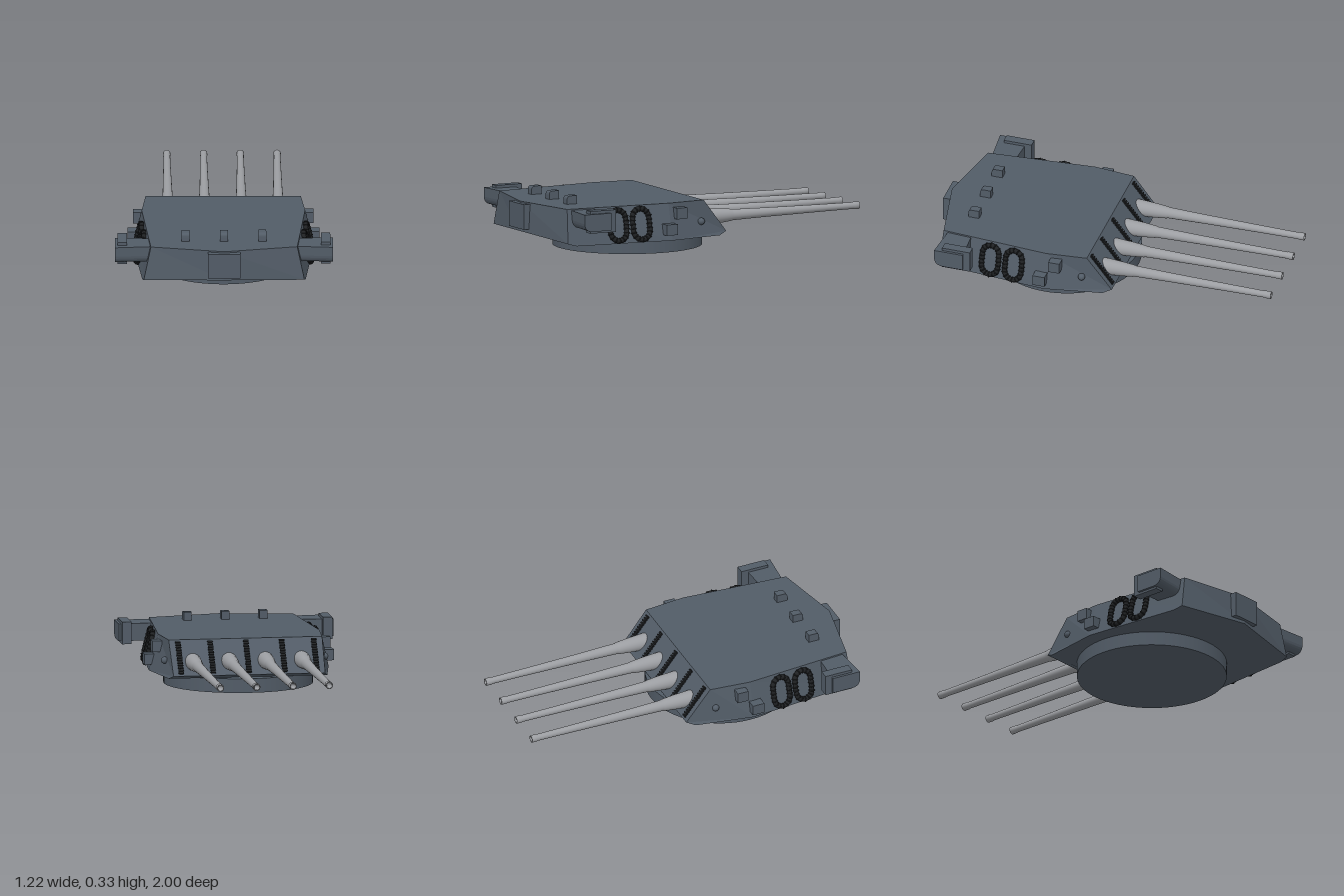
import * as THREE from 'three';

export function createModel() {
  const model = new THREE.Group();
  model.name = 'gunTurret';
  const mat = (name, color, side = THREE.FrontSide) => {
    const m = new THREE.MeshStandardMaterial({ color, side });
    m.name = name;
    return m;
  };
  const hull = mat('slateGrey', 0x525c67, THREE.DoubleSide);
  const steel = mat('lightSteel', 0x9c9ea2);
  const black = mat('nearBlack', 0x1f2123);

  const add = (parent, name, geo, material, x = 0, y = 0, z = 0) => {
    const mesh = new THREE.Mesh(geo, material);
    mesh.name = name;
    mesh.position.set(x, y, z);
    parent.add(mesh);
    return mesh;
  };
  const box = (parent, name, x0, x1, y0, y1, z0, z1, m = hull) =>
    add(parent, name, new THREE.BoxGeometry(x1 - x0, y1 - y0, z1 - z0), m,
      (x0 + x1) / 2, (y0 + y1) / 2, (z0 + z1) / 2);
  // Extrudes a (z, y) profile along x from x0 to x1
  const extrudeX = (shape, x0, x1) => {
    const g = new THREE.ExtrudeGeometry(shape, { depth: x1 - x0, bevelEnabled: false, curveSegments: 6 });
    g.rotateY(-Math.PI / 2).scale(1, 1, 1).translate(x1, 0, 0);
    return g;
  };

  // Round base
  add(model, 'barbette', new THREE.CylinderGeometry(0.42, 0.42, 0.08, 64), hull, 0, 0.04, 0.3);

  // Armoured house: three outlines, from gun corner round the rear to the other gun corner
  const mirrored = half => [...half, ...half.slice(0, 3).reverse().map(([x, y, z]) => [-x, y, z])];
  const rings = [
    [[0.45, 0.08, -0.05], [0.51, 0.08, 0.28], [0.458, 0.08, 0.86], [0, 0.08, 0.86]],
    [[0.43, 0.1, -0.1], [0.51, 0.08, 0.28], [0.45, 0.094, 0.91], [0, 0.118, 0.985]],
    [[0.435, 0.285, 0.045], [0.458, 0.285, 0.28], [0.41, 0.285, 0.895], [0, 0.285, 0.977]],
  ].map(mirrored);
  const pos = [];
  const tri = (a, b, c) => pos.push(...a, ...b, ...c);
  const n = rings[0].length;
  for (let r = 0; r < 2; r++) {
    for (let i = 0; i < n; i++) {
      if (r === 1 && i === n - 1) continue; // the gun face is built separately
      const j = (i + 1) % n, lo = rings[r], hi = rings[r + 1];
      tri(lo[i], hi[i], hi[j]);
      tri(lo[i], hi[j], lo[j]);
    }
  }
  for (let i = 1; i < n - 1; i++) {
    tri(rings[2][0], rings[2][i + 1], rings[2][i]);
    tri(rings[0][0], rings[0][i], rings[0][i + 1]);
  }
  const house = new THREE.BufferGeometry();
  house.setAttribute('position', new THREE.Float32BufferAttribute(pos, 3));
  house.computeVertexNormals();
  add(model, 'armouredHouse', house, hull);

  // Sloping gun face with oval ports; local y runs up the slope, local z points out
  const face = new THREE.Group();
  face.name = 'gunFace';
  face.position.set(0, 0.1, -0.1);
  face.rotation.set(Math.atan2(0.145, 0.185), Math.PI, 0);
  model.add(face);
  const slope = Math.hypot(0.145, 0.185);
  const plate = new THREE.Shape([[-0.43, 0], [0.43, 0], [0.435, slope], [-0.435, slope]]
    .map(p => new THREE.Vector2(...p)));
  const gunXs = [-0.309, -0.103, 0.103, 0.309];
  for (const x of gunXs) {
    plate.holes.push(new THREE.Path().absellipse(x, 0.125, 0.05, 0.1, 0, Math.PI * 2, true));
    const wall = new THREE.CylinderGeometry(1, 1, 0.05, 32, 1, true);
    wall.rotateX(Math.PI / 2).scale(0.05, 0.1, 1);
    add(face, 'portWall', wall, hull, x, 0.125, -0.025);
    add(face, 'portBack', new THREE.CircleGeometry(1, 32).scale(0.05, 0.1, 1), hull, x, 0.125, -0.05);
  }
  add(face, 'facePlate', new THREE.ShapeGeometry(plate, 24), hull);

  // Ladders between the ports
  for (const x of [-0.385, -0.203, 0, 0.203, 0.385]) {
    box(face, 'ladderBacking', x - 0.011, x + 0.011, 0.012, 0.222, 0, 0.003, black);
    for (let i = 0; i < 13; i++) {
      const s = 0.014 + i * 0.0165;
      box(face, 'ladderRung', x - 0.015, x + 0.015, s, s + 0.008, 0, 0.009, black);
    }
  }

  // Gun barrels, profile measured from breech to muzzle
  const barrel = new THREE.LatheGeometry([
    [0, -0.05], [0.03, -0.042], [0.046, -0.01], [0.047, 0.02], [0.041, 0.12], [0.034, 0.19],
    [0.031, 0.2], [0.026, 0.42], [0.021, 0.76], [0.019, 0.96], [0.021, 0.97], [0.021, 1],
    [0.014, 1], [0.012, 0.97], [0, 0.97],
  ].map(p => new THREE.Vector2(...p)), 24);
  barrel.rotateX(-Math.PI / 2);
  for (const x of gunXs) add(model, 'gunBarrel', barrel, steel, x, 0.168, 0);

  // Rear plate and roof periscopes
  box(model, 'rearPlate', -0.09, 0.09, 0.135, 0.277, 0.93, 1);
  const hood = new THREE.Shape();
  hood.moveTo(0.742, 0.28).lineTo(0.805, 0.28).lineTo(0.805, 0.31);
  hood.quadraticCurveTo(0.805, 0.332, 0.783, 0.332);
  hood.lineTo(0.742, 0.332).closePath();
  for (const x of [-0.215, 0, 0.215]) add(model, 'periscope', extrudeX(hood, x - 0.022, x + 0.022), hull);

  // One flank of fittings, mirrored to the other side
  const flank = sign => {
    const g = new THREE.Group();
    g.name = sign > 0 ? 'leftFittings' : 'rightFittings';
    g.scale.x = sign;
    model.add(g);

    // Rangefinder arm, widening outward, with its end hood
    const arm = new THREE.Shape();
    arm.moveTo(0.72, 0.18).lineTo(0.84, 0.18);
    arm.quadraticCurveTo(0.885, 0.182, 0.888, 0.225);
    arm.lineTo(0.888, 0.278).lineTo(0.72, 0.278).closePath();
    const armGeo = extrudeX(arm, 0.38, 0.61);
    const p = armGeo.attributes.position;
    for (let i = 0; i < p.count; i++) {
      if (p.getX(i) < 0.5) p.setZ(i, 0.8 + (p.getZ(i) - 0.804) * 0.8);
    }
    armGeo.computeVertexNormals();
    add(g, 'rangefinderArm', armGeo, hull);
    box(g, 'rangefinderHood', 0.543, 0.596, 0.168, 0.294, 0.682, 0.845);

    // Lockers and pivot boss
    box(g, 'upperLocker', 0.42, 0.505, 0.197, 0.26, 0.185, 0.25);
    box(g, 'lowerLocker', 0.45, 0.538, 0.114, 0.175, 0.262, 0.332);
    add(g, 'pivotBoss', new THREE.SphereGeometry(0.02, 16, 12), hull, 0.455, 0.168, 0.07);

    // Oval life rafts with lashings, leaning against the wall
    const pts = [];
    for (let i = 0; i < 24; i++) {
      const a = ((i + 0.5) / 24) * Math.PI * 2, s = Math.sin(a);
      pts.push(new THREE.Vector3(0, s * 0.049 + Math.sign(s) * 0.038, Math.cos(a) * 0.049));
    }
    const curve = new THREE.CatmullRomCurve3(pts, true);
    const tube = new THREE.TubeGeometry(curve, 64, 0.0145, 8, true);
    const lash = new THREE.TorusGeometry(0.0145, 0.0035, 5, 10);
    for (const [z, x] of [[0.603, 0.468], [0.463, 0.48]]) {
      const raft = new THREE.Group();
      raft.name = 'lifeRaft';
      raft.position.set(x, 0.182, z);
      raft.rotation.set(0, -0.085, 0.24);
      g.add(raft);
      add(raft, 'raftTube', tube, black);
      for (let i = 0; i < 20; i++) {
        const c = curve.getPointAt(i / 20);
        const ring = add(raft, 'raftLashing', lash, black, c.x, c.y, c.z);
        ring.quaternion.setFromUnitVectors(new THREE.Vector3(0, 0, 1), curve.getTangentAt(i / 20));
      }
    }
  };
  flank(1);
  flank(-1);
  return model;
}
